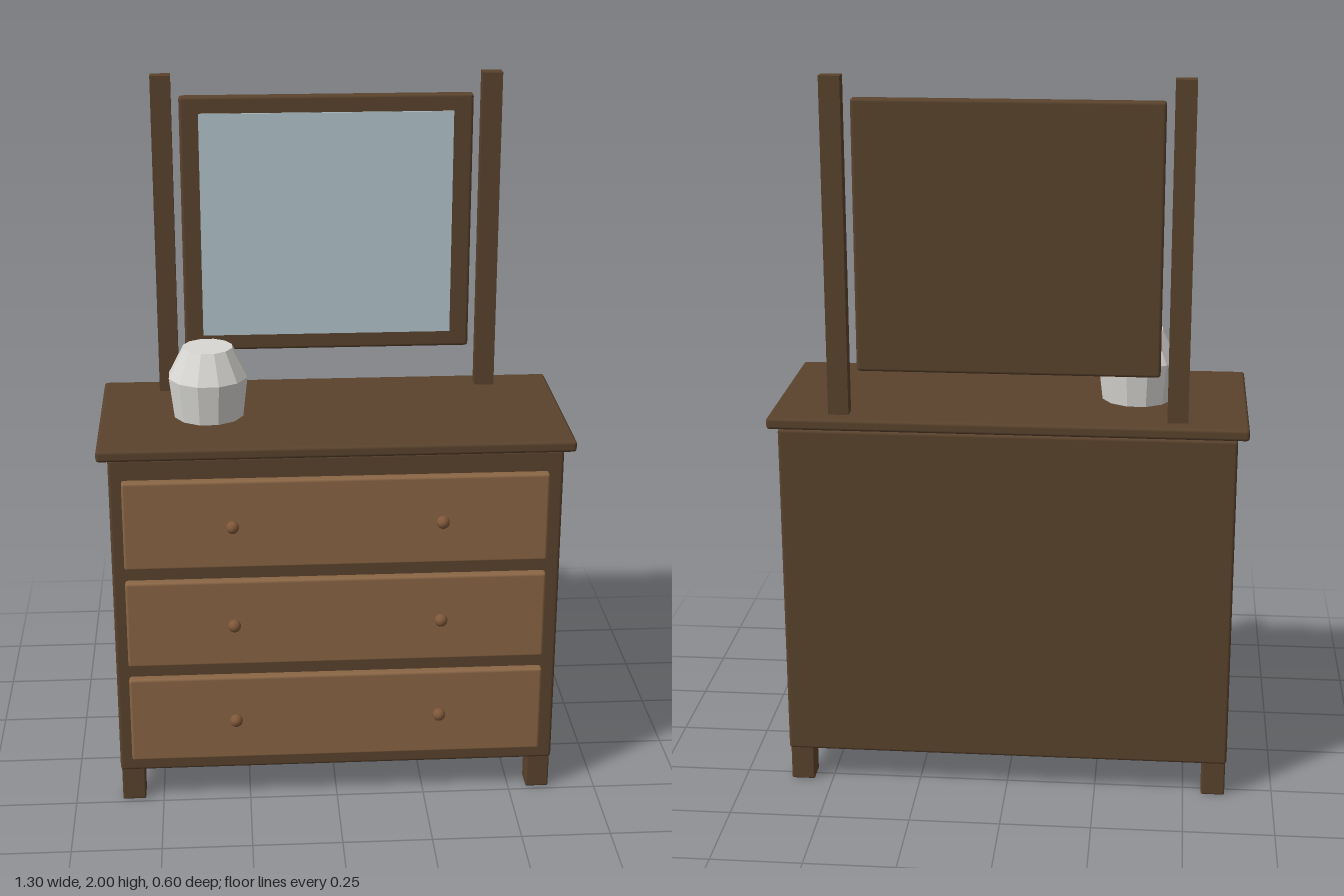
import * as THREE from 'three';
import { RoundedBoxGeometry } from 'three/addons/geometries/RoundedBoxGeometry.js';

const material = (name, color, extra = {}) => {
  const m = new THREE.MeshStandardMaterial({ color, ...extra });
  m.name = name;
  return m;
};

export function createModel() {
  const darkWood = material('dark wood', 0x5a432d);
  const drawerWood = material('drawer wood', 0x8a6645);
  const knobWood = material('knob wood', 0x80583a);
  const glass = material('mirror glass', 0xb4c6ce);
  const ceramic = material('pale ceramic', 0xd8d7d3, { flatShading: true });

  const model = new THREE.Group();
  model.name = 'dresser';

  const add = (name, geometry, mat, x, y, z, parent = model) => {
    const mesh = new THREE.Mesh(geometry, mat);
    mesh.name = name;
    mesh.position.set(x, y, z);
    parent.add(mesh);
    return mesh;
  };

  // Box given by its extents, with softened edges when bevel > 0
  const box = (name, mat, [x0, x1], [y0, y1], [z0, z1], bevel = 0, parent = model) => {
    const size = [x1 - x0, y1 - y0, z1 - z0];
    const geometry = bevel
      ? new RoundedBoxGeometry(...size, 2, bevel)
      : new THREE.BoxGeometry(...size);
    return add(name, geometry, mat, (x0 + x1) / 2, (y0 + y1) / 2, (z0 + z1) / 2, parent);
  };

  // Cabinet and overhanging top
  box('cabinet', darkWood, [-0.62, 0.62], [0.1, 1.055], [-0.297, 0.245], 0.009);
  box('tabletop', darkWood, [-0.65, 0.65], [1.055, 1.087], [-0.302, 0.265], 0.009);

  // Legs
  for (const side of [-1, 1]) {
    for (const z of [-0.254, 0.204]) {
      const x = side * 0.584;
      box('leg', darkWood, [x - 0.033, x + 0.033], [0, 0.11], [z - 0.033, z + 0.033], 0.005);
    }
  }

  // Three drawers with two round knobs each
  const knob = new THREE.SphereGeometry(0.018, 14, 10);
  for (let i = 0; i < 3; i++) {
    const drawer = new THREE.Group();
    drawer.name = 'drawer';
    model.add(drawer);
    const y = 0.272 + i * 0.297;
    box('drawerFront', drawerWood, [-0.585, 0.58], [y - 0.129, y + 0.129], [0.235, 0.268], 0.008, drawer);
    for (const side of [-1, 1]) add('knob', knob, knobWood, side * 0.287, y, 0.282, drawer);
  }

  // Mirror posts
  for (const side of [-1, 1]) {
    const x = side * 0.459;
    box('mirrorPost', darkWood, [x - 0.028, x + 0.028], [1.08, 2], [-0.254, -0.211]);
  }

  // Solid-backed mirror with a thin pane on its front
  box('mirrorFrame', darkWood, [-0.41, 0.408], [1.208, 1.942], [-0.245, -0.212], 0.009);
  box('mirrorPane', glass, [-0.357, 0.353], [1.255, 1.895], [-0.214, -0.207]);

  // Faceted vase
  const profile = [[0, 0], [0.099, 0], [0.113, 0.115], [0.07, 0.198], [0, 0.198]]
    .map(([r, y]) => new THREE.Vector2(r, y));
  const vase = add('vase', new THREE.LatheGeometry(profile, 12), ceramic, -0.345, 1.087, -0.017);
  vase.rotation.y = Math.PI / 12;

  return model;
}
